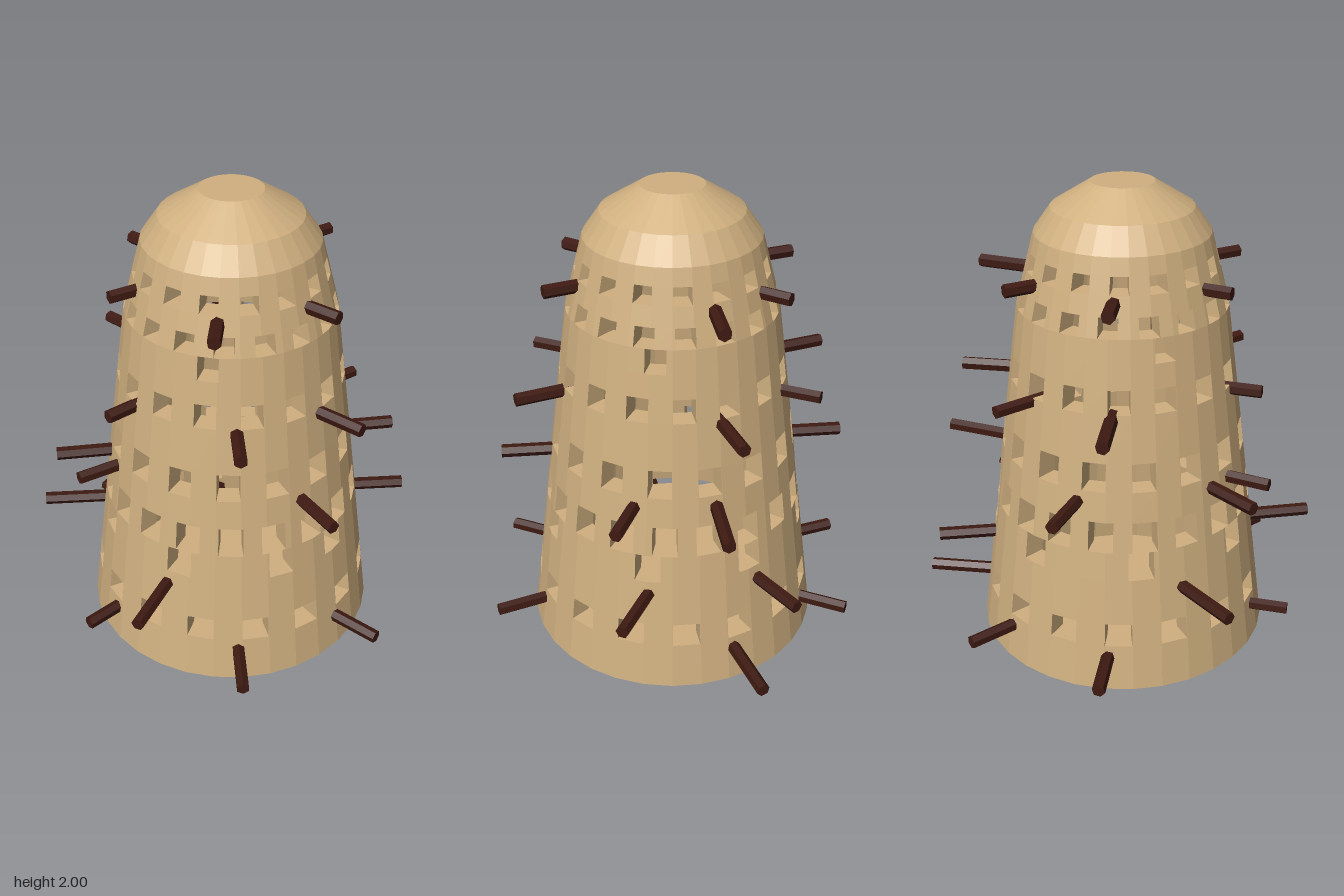
import * as THREE from 'three';

const SIDES = 32, WALL = 0.09, CX = 0.015, CZ = -0.008;
const HALF = 5.4; // half the angular width of a window, degrees
const PROFILE = [[0, 0.635], [1, 0.505], [1.5, 0.438], [1.8, 0.36], [1.9, 0.29], [2, 0.13]];

const radiusAt = (y) => {
  const k = Math.max(1, PROFILE.findIndex((p) => y <= p[0] + 1e-6));
  const [y0, r0] = PROFILE[k - 1], [y1, r1] = PROFILE[k];
  return r0 + ((r1 - r0) * (y - y0)) / (y1 - y0);
};

// point on the faceted wall: angle in degrees from the front, height, inset
function wallPoint(deg, y, inset = 0) {
  const step = 360 / SIDES;
  const local = (((deg % step) + step) % step) - step / 2;
  const rad = THREE.MathUtils.degToRad;
  const r = ((radiusAt(y) - inset) * Math.cos(rad(step / 2))) / Math.cos(rad(local));
  return [CX + r * Math.sin(rad(deg)), y, CZ + r * Math.cos(rad(deg))];
}

const evenly = (n, start) => Array.from({ length: n }, (_, i) => start + (i * 360) / n);
const wrap = (a) => ((a % 360) + 360) % 360;

// wall bands from bottom to top: lower edge, upper edge, window angles
const BANDS = [
  [0, 0.2, []],
  [0.2, 0.3, evenly(16, 5.6)],
  [0.3, 0.5, []],
  [0.5, 0.62, [-27, 17.5, 46, 102, 147, 192, 240, 288]],
  [0.62, 0.75, evenly(19, -4.5)],
  [0.75, 0.88, []],
  [0.88, 1, evenly(16, -5.6)],
  [1, 1.2, []],
  [1.2, 1.3, evenly(16, 5.6)],
  [1.3, 1.4, []],
  [1.4, 1.5, [-16, 104, -106]],
  [1.5, 1.58, evenly(17, -8)],
  [1.58, 1.66, []],
  [1.66, 1.73, evenly(16, 5.6)],
  [1.73, 1.8, []],
];

function towerGeometry() {
  const pos = [];
  const quad = (a, b, c, d) => pos.push(...a, ...b, ...c, ...a, ...c, ...d);
  const P = wallPoint;
  const corners = evenly(SIDES, 0);

  for (const [y0, y1, windows] of BANDS) {
    const cuts = [...corners, 360, ...windows.flatMap((w) => [wrap(w - HALF), wrap(w + HALF)])]
      .sort((a, b) => a - b)
      .filter((v, i, s) => i === 0 || v - s[i - 1] > 1e-4);
    for (let i = 0; i + 1 < cuts.length; i++) {
      const a = cuts[i], b = cuts[i + 1], mid = (a + b) / 2;
      const open = windows.some((w) => Math.abs(wrap(mid - w + 180) - 180) < HALF);
      if (open) {
        // sill and lintel
        quad(P(a, y0), P(b, y0), P(b, y0, WALL), P(a, y0, WALL));
        quad(P(a, y1, WALL), P(b, y1, WALL), P(b, y1), P(a, y1));
      } else {
        // outer and inner skin
        quad(P(a, y0), P(b, y0), P(b, y1), P(a, y1));
        quad(P(b, y0, WALL), P(a, y0, WALL), P(a, y1, WALL), P(b, y1, WALL));
      }
    }
    // jambs
    for (const w of windows) {
      const l = w - HALF, r = w + HALF;
      quad(P(l, y0), P(l, y0, WALL), P(l, y1, WALL), P(l, y1));
      quad(P(r, y0, WALL), P(r, y0), P(r, y1), P(r, y1, WALL));
    }
  }

  // domed cap, roof disc, base disc, inner ceiling and floor
  const disc = (a, b, y, inset, up) => {
    const c = [CX, y, CZ], p = P(a, y, inset), q = P(b, y, inset);
    pos.push(...c, ...(up ? p : q), ...(up ? q : p));
  };
  for (const a of corners) {
    const b = a + 360 / SIDES;
    quad(P(a, 1.8), P(b, 1.8), P(b, 1.9), P(a, 1.9));
    quad(P(a, 1.9), P(b, 1.9), P(b, 2), P(a, 2));
    disc(a, b, 2, 0, true);
    disc(a, b, 0, 0, false);
    disc(a, b, 1.8, WALL, false);
    disc(a, b, 0.02, WALL, true);
  }
  const geo = new THREE.BufferGeometry();
  geo.setAttribute('position', new THREE.Float32BufferAttribute(pos, 3));
  geo.computeVertexNormals();
  return geo;
}

// pegs per height: outer end x, z and inner end x, z
const PEGS = [
  [0.15, [[0, 0.83, 0, 0.47], [0, -0.83, 0, -0.48], [0.6, 0.58, 0.41, 0.4],
    [0.63, -0.66, 0.41, -0.44], [-0.58, -0.59, -0.41, -0.41], [-0.64, 0.4, -0.4, 0.21]]],
  [0.44, [[0.83, -0.13, 0.5, -0.13], [-0.83, -0.13, -0.5, -0.13],
    [-0.42, 0.72, -0.26, 0.42], [0.42, -0.72, 0.28, -0.48]]],
  [0.83, [[0.74, -0.07, 0.46, -0.05], [-0.74, 0.06, -0.46, 0.04], [0.37, 0.64, 0.25, 0.42],
    [-0.37, -0.65, -0.25, -0.43], [0.64, -0.5, 0.39, -0.35], [-0.64, 0.24, -0.4, 0.12]]],
  [1.18, [[0, 0.65, 0, 0.38], [0, -0.65, 0, -0.38], [0.49, 0.48, 0.3, 0.3],
    [0.5, -0.5, 0.31, -0.32], [-0.5, -0.5, -0.3, -0.3], [-0.5, 0.31, -0.36, 0.21]]],
  [1.63, [[-0.09, 0.53, -0.06, 0.34], [0.09, -0.53, 0.06, -0.34], [0.39, 0.38, 0.24, 0.24],
    [0.47, -0.4, 0.27, -0.28], [-0.38, -0.38, -0.24, -0.24], [-0.47, 0.15, -0.33, 0.08]]],
];

export function createModel() {
  const model = new THREE.Group();
  model.name = 'pegTower';

  const clay = new THREE.MeshStandardMaterial({ color: 0xd0b080, flatShading: true });
  const wood = new THREE.MeshStandardMaterial({ color: 0x3e1a12, flatShading: true });

  const tower = new THREE.Mesh(towerGeometry(), clay);
  tower.name = 'towerWall';
  model.add(tower);

  // hexagonal wooden pegs sticking out of the wall
  const pegs = new THREE.Group();
  pegs.name = 'pegs';
  const up = new THREE.Vector3(0, 1, 0);
  for (const [y, list] of PEGS) {
    for (const [ox, oz, ix, iz] of list) {
      const outer = new THREE.Vector3(ox, y, oz), inner = new THREE.Vector3(ix, y, iz);
      const dir = outer.clone().sub(inner);
      const peg = new THREE.Mesh(new THREE.CylinderGeometry(0.028, 0.028, dir.length(), 6), wood);
      peg.name = 'peg';
      peg.position.copy(outer).add(inner).multiplyScalar(0.5);
      peg.quaternion.setFromUnitVectors(up, dir.normalize());
      pegs.add(peg);
    }
  }
  model.add(pegs);
  return model;
}
